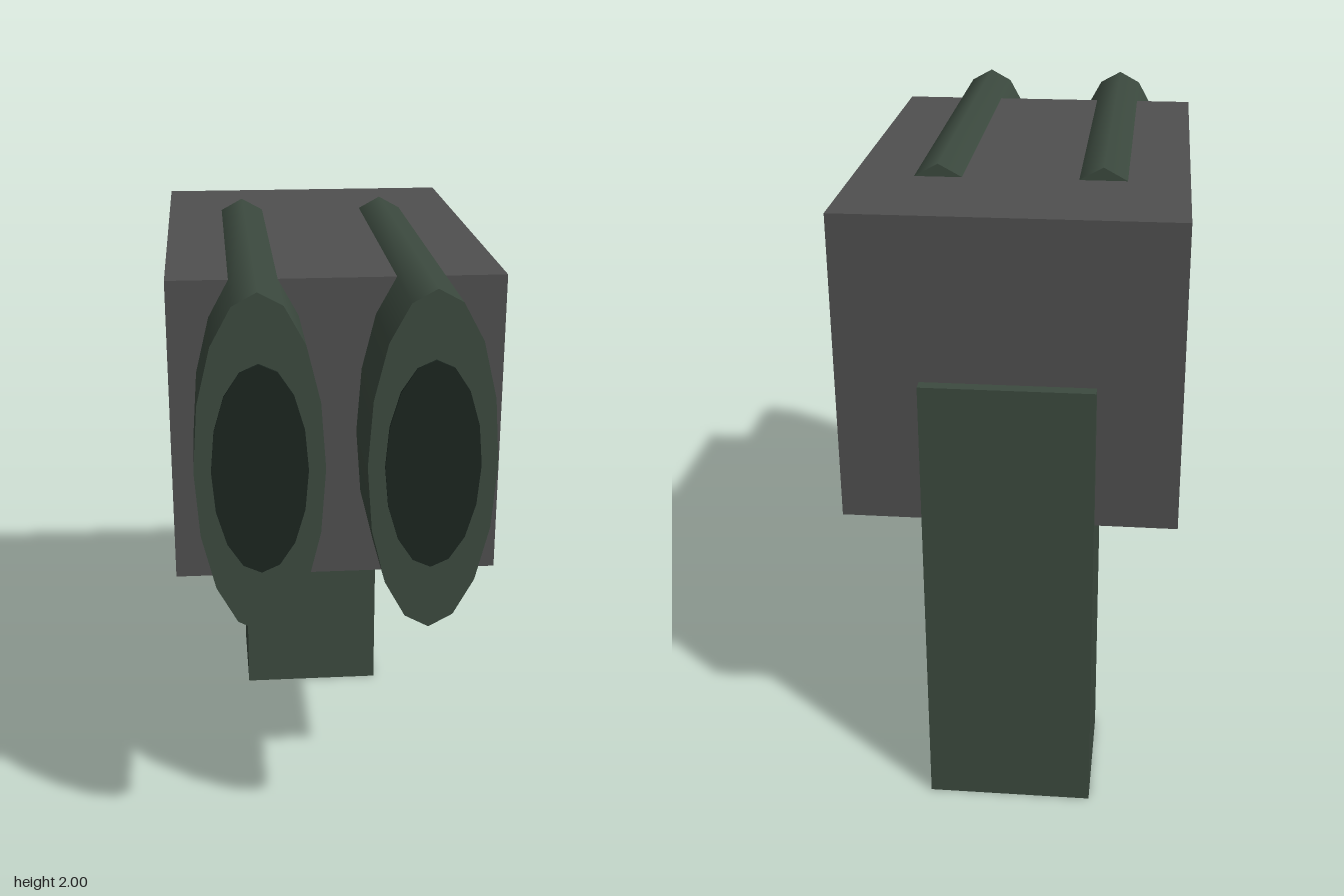
import * as THREE from 'three';

const bodyMat = new THREE.MeshStandardMaterial({ color: 0x505050 });
const greenMat = new THREE.MeshStandardMaterial({ color: 0x3c4a3f });
const boreMat = new THREE.MeshStandardMaterial({ color: 0x1b2620 });

// Box given by its min and max corners
function block(name, min, max, material) {
  const size = max.map((v, i) => v - min[i]);
  const mesh = new THREE.Mesh(new THREE.BoxGeometry(...size), material);
  mesh.position.set(...max.map((v, i) => (v + min[i]) / 2));
  mesh.name = name;
  return mesh;
}

// Elliptical 16-sided cylinder lying along z
function ellipticRod(name, x, y, rx, ry, z0, z1, material) {
  const geometry = new THREE.CylinderGeometry(1, 1, z1 - z0, 16);
  geometry.rotateX(Math.PI / 2);
  geometry.scale(rx, ry, 1);
  const mesh = new THREE.Mesh(geometry, material);
  mesh.position.set(x, y, (z0 + z1) / 2);
  mesh.name = name;
  return mesh;
}

export function createModel() {
  const model = new THREE.Group();
  model.name = 'twinBarrelBlaster';

  // Main housing and the handle at its rear
  model.add(block('body', [-0.51, 1.005, -0.878], [0.51, 1.96, 0.592], bodyMat));
  model.add(block('grip', [-0.26, 0, -0.918], [0.26, 1.457, -0.5], greenMat));

  // Twin barrels, each with a dark muzzle face
  for (const [side, x] of [['left', 0.25], ['right', -0.25]]) {
    const barrel = new THREE.Group();
    barrel.name = side + 'Barrel';
    barrel.add(ellipticRod('tube', x, 1.48, 0.19, 0.52, -0.48, 0.91, greenMat));
    barrel.add(ellipticRod('bore', x, 1.48, 0.14, 0.318, 0.5, 0.918, boreMat));
    model.add(barrel);
  }
  return model;
}
